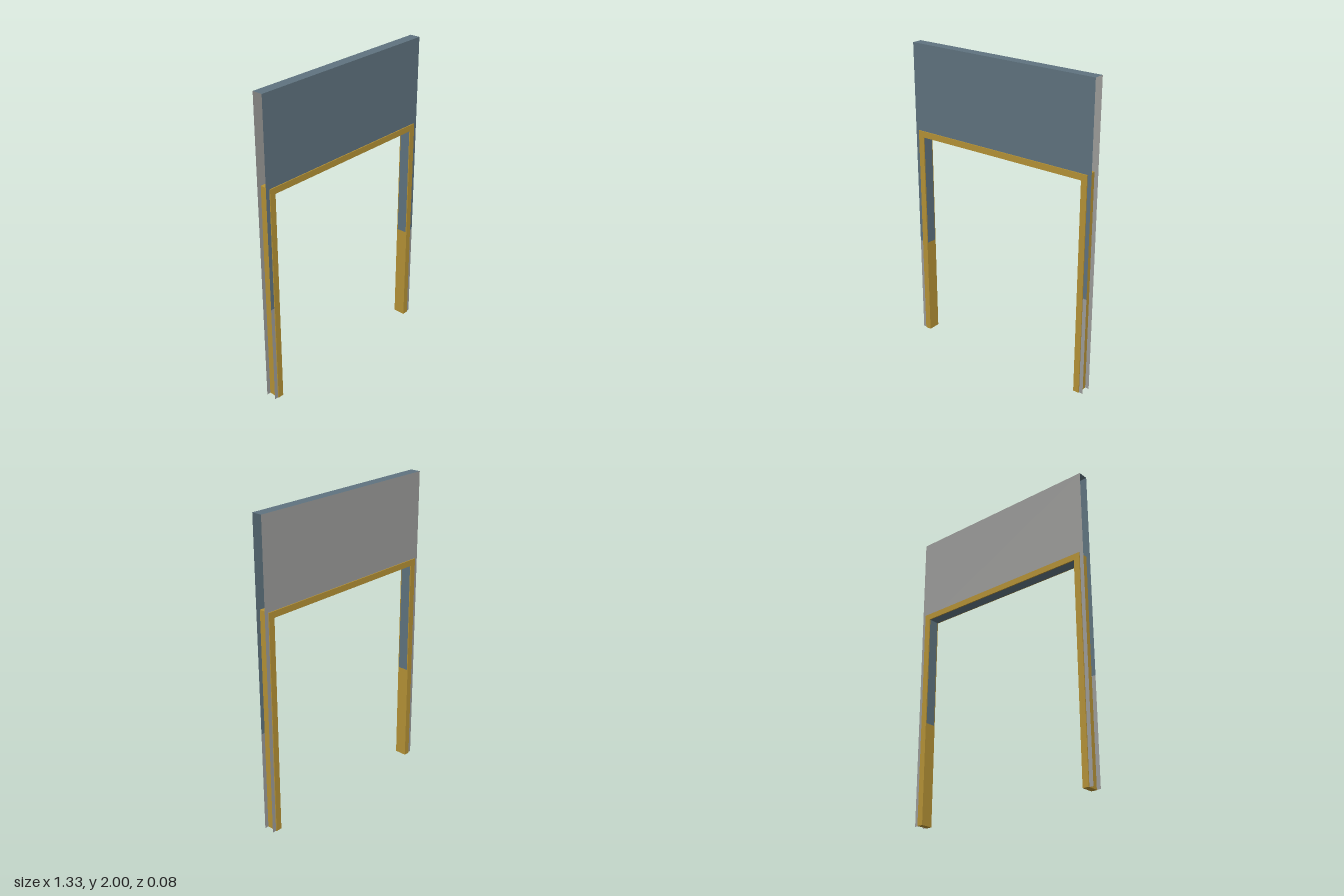
import * as THREE from 'three';

const W = 0.666, H = 2, D = 0.034;        // wall half width, height, half depth
const IN = 0.6, OUT = 0.64;               // frame inner and outer half width
const DOOR = 1.4, HEAD = 1.44, SPLIT = 0.66;

export function createModel() {
  const group = new THREE.Group();
  group.name = 'doorwayWall';

  const mat = (name, color, side = THREE.DoubleSide) => {
    const m = new THREE.MeshStandardMaterial({ color, side });
    m.name = name;
    return m;
  };
  const slate = mat('slate paint', 0x5f737f);
  const grey = mat('grey plaster', 0x9c9c9a);
  const gold = mat('ochre frame', 0xb59236, THREE.FrontSide);

  const add = (name, geometry, material, x = 0, y = 0, z = 0) => {
    const mesh = new THREE.Mesh(geometry, material);
    mesh.name = name;
    mesh.position.set(x, y, z);
    group.add(mesh);
    return mesh;
  };

  // Wall skin with the door opening cut out from the bottom
  const skin = (bottom) => new THREE.ShapeGeometry(new THREE.Shape(
    [[-W, bottom], [-IN, bottom], [-IN, DOOR], [IN, DOOR], [IN, bottom], [W, bottom], [W, H], [-W, H]]
      .map(([x, y]) => new THREE.Vector2(x, y))));
  add('frontWall', skin(SPLIT), slate, 0, 0, D);
  add('backWall', skin(0), grey, 0, 0, -D).rotation.y = Math.PI;

  // Open-ended wall: only the top edge is closed
  add('wallTop', new THREE.PlaneGeometry(2 * W, 2 * D), slate, 0, H, 0).rotation.x = -Math.PI / 2;

  // Lining under the head of the opening
  add('headLining', new THREE.PlaneGeometry(2 * IN, 2 * D), slate, 0, DOOR - 0.001, 0)
    .rotation.x = Math.PI / 2;

  for (const [label, s] of [['left', 1], ['right', -1]]) {
    // Grey lower wall beside the door
    add(label + 'LowerWall', new THREE.PlaneGeometry(W - IN, SPLIT), grey, s * (W + IN) / 2, SPLIT / 2, D);
    // Slate lining on the upper part of the jamb
    add(label + 'JambLining', new THREE.PlaneGeometry(2 * D, DOOR - SPLIT), slate,
      s * (IN - 0.001), (DOOR + SPLIT) / 2, 0).rotation.y = -s * Math.PI / 2;
  }

  // Door frame, standing slightly proud of both wall faces
  const outline = [[-OUT, 0], [-IN, 0], [-IN, DOOR], [IN, DOOR], [IN, 0], [OUT, 0], [OUT, HEAD], [-OUT, HEAD]];
  const frame = new THREE.Shape(outline.map(([x, y]) => new THREE.Vector2(x, y)));
  add('doorFrame', new THREE.ExtrudeGeometry(frame, { depth: 0.08, bevelEnabled: false }), gold, 0, 0, -0.04);

  return group;
}
